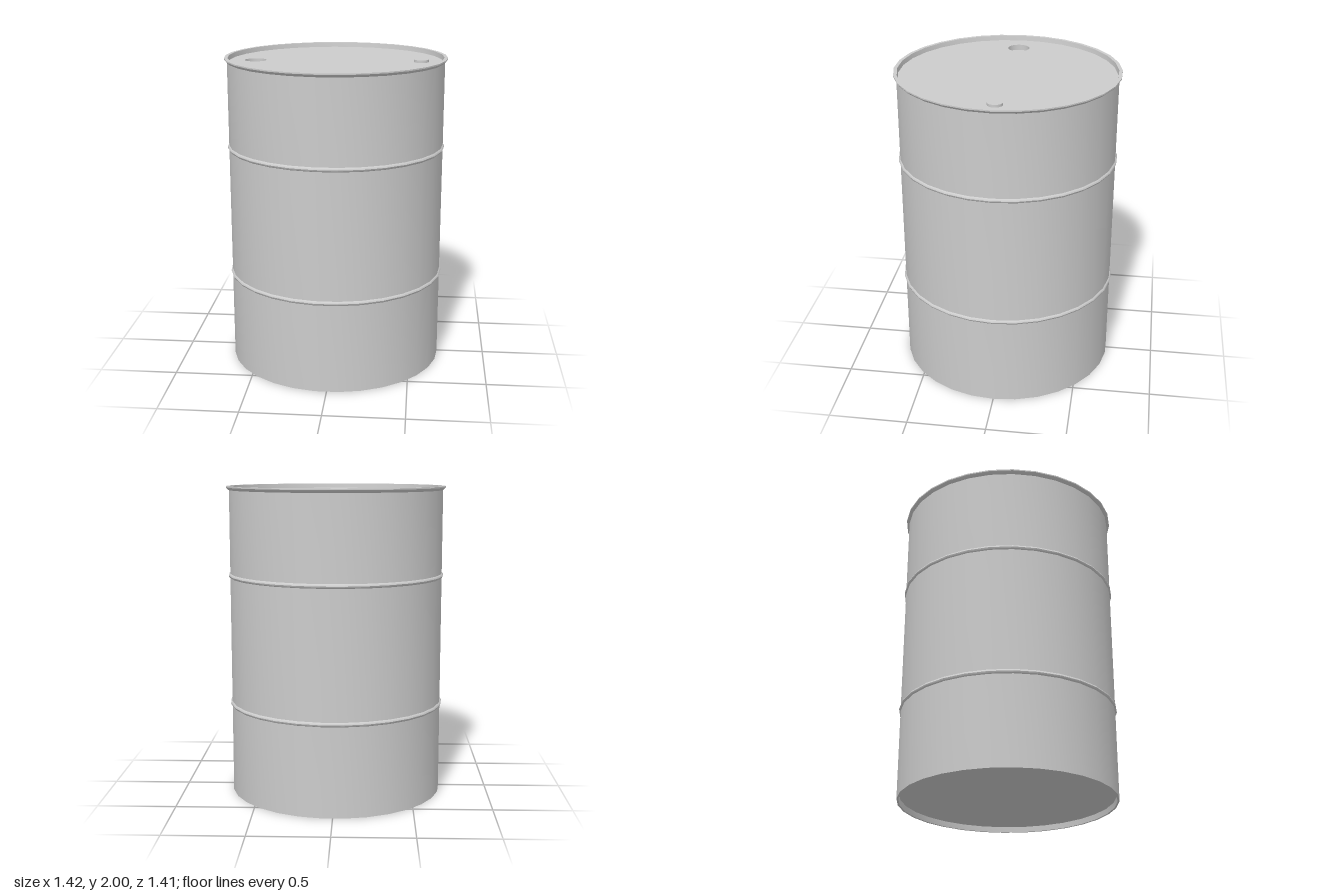
import * as THREE from 'three';
import { toCreasedNormals } from 'three/addons/utils/BufferGeometryUtils.js';

const SIDES = 30;
const LID_Y = 1.97;
const LID_R = 0.682;
const BUNG = { x: -0.515, r: 0.07, depth: 0.035 };
const CAP = { x: 0.54, r: 0.047, height: 0.016 };

const material = new THREE.MeshStandardMaterial({ color: 0xcccccc });

function addMesh(group, name, geometry) {
  const mesh = new THREE.Mesh(geometry, material);
  mesh.name = name;
  group.add(mesh);
  return mesh;
}

// Revolve [radius, height] pairs, with a corner on the x axis
function turned(profile, sides = SIDES) {
  const points = profile.map(([r, y]) => new THREE.Vector2(r, y));
  const geometry = new THREE.LatheGeometry(points, sides, Math.PI / 2);
  return toCreasedNormals(geometry, Math.PI / 6);
}

// Half-round hoop pressed out of the wall
function hoop(y) {
  return [[0.69, y - 0.014], [0.697, y - 0.008], [0.7, y], [0.697, y + 0.008], [0.69, y + 0.014]];
}

function circlePoints(r, count, cx = 0) {
  return Array.from({ length: count }, (_, i) => {
    const a = (i / count) * Math.PI * 2;
    return new THREE.Vector2(cx + r * Math.cos(a), r * Math.sin(a));
  });
}

export function createModel() {
  const drum = new THREE.Group();
  drum.name = 'drum';

  // Wall with recessed base, two hoops and a flared top rim
  addMesh(drum, 'shell', turned([
    [0, 0.035], [0.675, 0.035], [0.678, 0], [0.69, 0],
    ...hoop(0.59), ...hoop(1.43),
    [0.69, 1.975], [0.701, 1.983], [0.708, 1.992], [0.708, 2],
    [0.686, 2], [LID_R, LID_Y],
  ]));

  // Recessed lid with the filling hole cut through
  const lidShape = new THREE.Shape(circlePoints(LID_R, SIDES));
  lidShape.holes.push(new THREE.Path(circlePoints(BUNG.r, 32, BUNG.x)));
  const lidGeometry = new THREE.ShapeGeometry(lidShape);
  lidGeometry.rotateX(-Math.PI / 2);
  addMesh(drum, 'lid', lidGeometry).position.y = LID_Y;

  // Cup inside the filling hole
  addMesh(drum, 'fillingHole', turned([
    [BUNG.r, 0], [BUNG.r, -BUNG.depth], [0, -BUNG.depth],
  ], 32)).position.set(BUNG.x, LID_Y, 0);

  // Raised vent cap
  addMesh(drum, 'ventCap', new THREE.CylinderGeometry(CAP.r, CAP.r, CAP.height, 32))
    .position.set(CAP.x, LID_Y + CAP.height / 2, 0);

  return drum;
}
